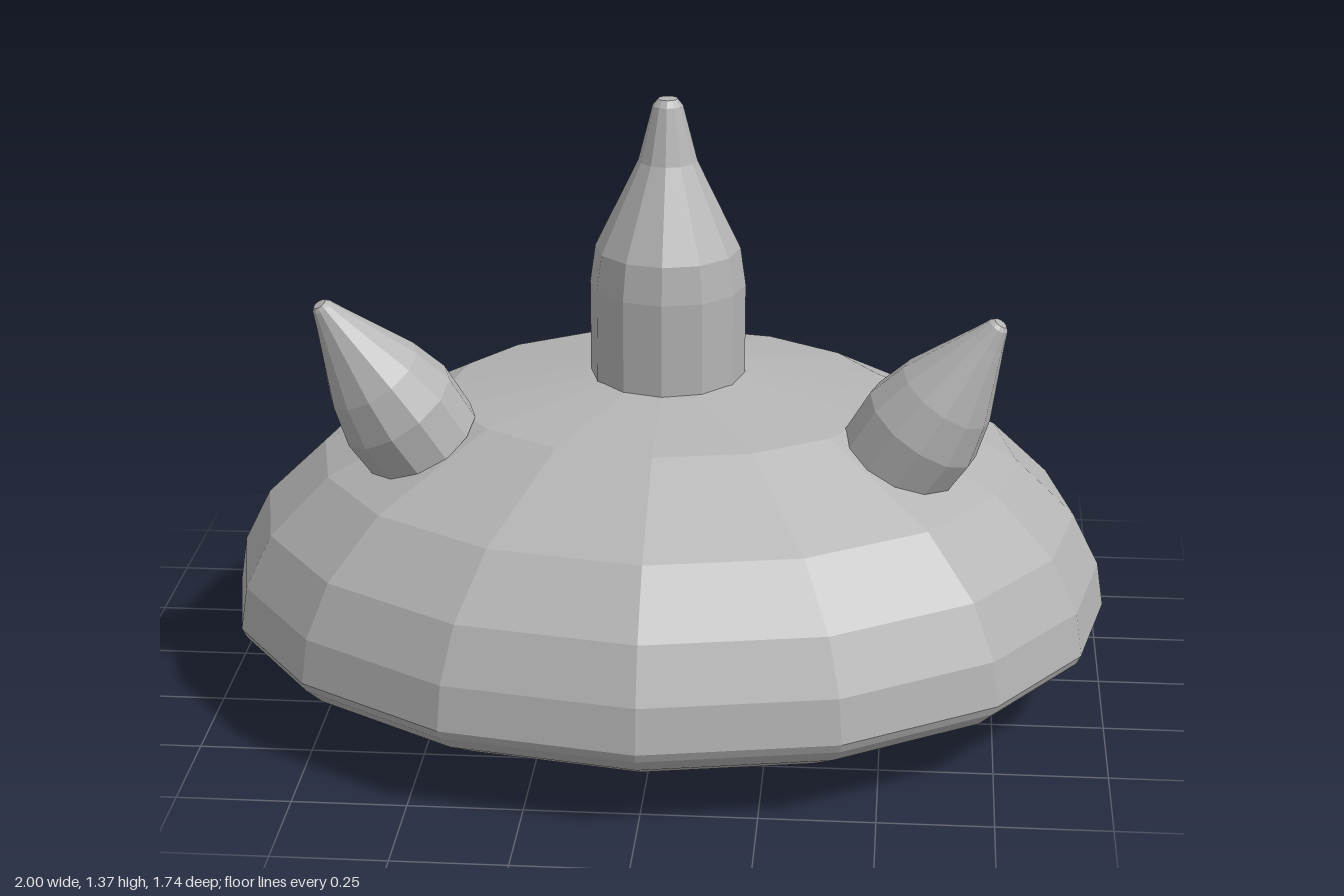
import * as THREE from 'three';

const grey = new THREE.MeshStandardMaterial({ color: 0xb4b4b4, flatShading: true });
grey.name = 'plainGrey';

function lathe(name, profile, sides) {
  const points = profile.map(([r, y]) => new THREE.Vector2(r, y));
  const mesh = new THREE.Mesh(new THREE.LatheGeometry(points, sides), grey);
  mesh.name = name;
  return mesh;
}

// Low oval dome with a shallow cone underneath
function makeBody() {
  const body = lathe('body', [
    [0, 0.005], [0.855, 0.1], [0.95, 0.145], [0.99, 0.18], [1, 0.2], [0.985, 0.3],
    [0.925, 0.42], [0.79, 0.55], [0.5, 0.695], [0.18, 0.742], [0, 0.75],
  ], 16);
  const pos = body.geometry.attributes.position;
  for (let i = 0; i < pos.count; i++) {
    const x = pos.getX(i), z = pos.getZ(i);
    const r = Math.hypot(x, z);
    // Sides get narrower facets than the front and back
    const a = Math.atan2(x, z);
    const b = a + 0.066 * Math.sin(2 * a);
    pos.setX(i, r * Math.sin(b));
    pos.setZ(i, r * 0.868 * Math.cos(b));
  }
  body.geometry.computeVertexNormals();
  return body;
}

// Small horn pointing from a base centre to a tip
function makeHorn(name, base, tip) {
  const from = new THREE.Vector3(...base);
  const axis = new THREE.Vector3(...tip).sub(from);
  const h = axis.length();
  const horn = lathe(name, [
    [0, -0.01], [0.134, -0.01], [0.138, 0.25 * h], [0.113, 0.48 * h],
    [0.04, 0.88 * h], [0.023, 0.98 * h], [0.015, h], [0, h],
  ], 12);
  horn.position.copy(from);
  horn.quaternion.setFromUnitVectors(new THREE.Vector3(0, 1, 0), axis.normalize());
  return horn;
}

export function createModel() {
  const model = new THREE.Group();
  model.name = 'hornedDome';
  model.add(makeBody());

  // Tall upright horn in the middle
  model.add(lathe('centreHorn', [
    [0, 0.66], [0.174, 0.66], [0.175, 0.95], [0.163, 1.035],
    [0.066, 1.235], [0.034, 1.36], [0.022, 1.375], [0, 1.375],
  ], 12));

  // Pair of leaning horns
  model.add(makeHorn('leftHorn', [0.525, 0.63, 0.22], [0.738, 0.967, 0.28]));
  model.add(makeHorn('rightHorn', [-0.53, 0.645, 0.225], [-0.73, 0.987, 0.325]));
  return model;
}
